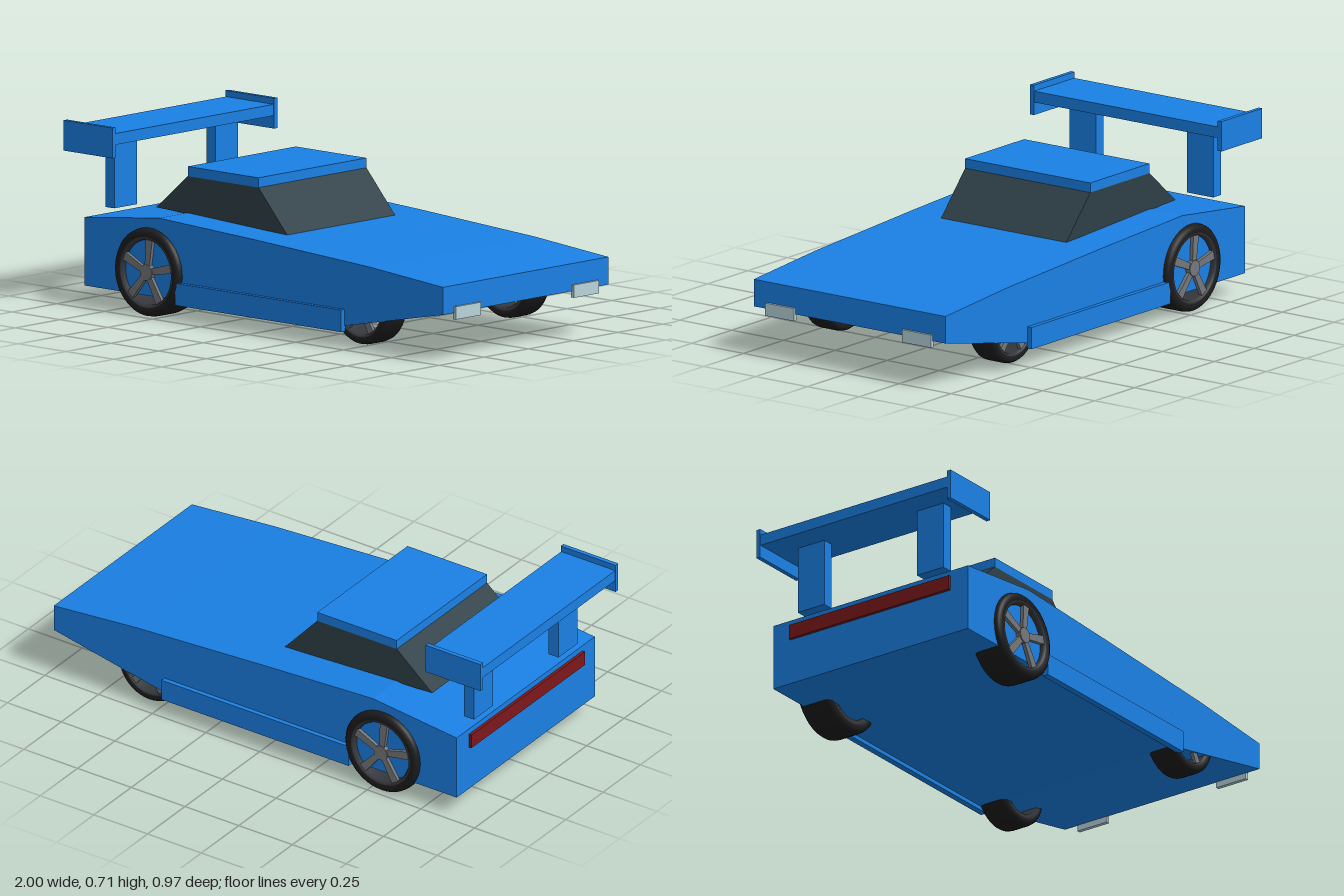
import * as THREE from 'three';

const mat = (color) => new THREE.MeshStandardMaterial({ color });
const blue = mat(0x1a80e4), glass = mat(0x2e4047), tyreMat = mat(0x1c1c1e);
const metal = mat(0x74777b), darkMetal = mat(0x33363b), lampMat = mat(0xb8d4dc), redMat = mat(0x7d181c);

function add(parent, name, geometry, material) {
  const mesh = new THREE.Mesh(geometry, material);
  mesh.name = name;
  parent.add(mesh);
  return mesh;
}

// Box given by its extents on each axis
function box(parent, name, material, [x0, x1], [y0, y1], [z0, z1]) {
  const mesh = add(parent, name, new THREE.BoxGeometry(x1 - x0, y1 - y0, Math.abs(z1 - z0)), material);
  mesh.position.set((x0 + x1) / 2, (y0 + y1) / 2, (z0 + z1) / 2);
  return mesh;
}

// Side profile extruded symmetrically across the car
function slab(parent, name, material, points, halfWidth) {
  const shape = new THREE.Shape(points.map(([x, y]) => new THREE.Vector2(x, y)));
  const geometry = new THREE.ExtrudeGeometry(shape, { depth: halfWidth * 2, bevelEnabled: false });
  geometry.translate(0, 0, -halfWidth);
  return add(parent, name, geometry, material);
}

// Ring of revolution about z from [radius, z] points
function ring(parent, name, material, points) {
  const geometry = new THREE.LatheGeometry(points.map(([r, z]) => new THREE.Vector2(r, z)), 48);
  geometry.rotateX(Math.PI / 2);
  const mesh = add(parent, name, geometry, material);
  mesh.material = material.clone();
  mesh.material.side = THREE.DoubleSide;
  return mesh;
}

// Wheel with its outer face towards +z
function makeWheel(name, r, width) {
  const wheel = new THREE.Group();
  wheel.name = name;
  const w = width / 2, rim = r * 0.8;
  ring(wheel, 'tyre', tyreMat, [
    [rim, -w + 0.004], [r * 0.88, -w], [r * 0.95, -w + 0.006], [r * 0.985, -w + 0.014], [r, -w + 0.028],
    [r, w - 0.028], [r * 0.985, w - 0.014], [r * 0.95, w - 0.006], [r * 0.88, w], [rim, w - 0.004],
  ]);
  ring(wheel, 'rim', darkMetal, [
    [rim, w - 0.004], [rim * 0.95, w - 0.004], [rim * 0.91, w - 0.014], [rim * 0.88, -w + 0.004], [rim, -w + 0.004],
  ]);
  const hub = add(wheel, 'hub', new THREE.CylinderGeometry(r * 0.18, r * 0.18, 0.022, 24), metal);
  hub.rotation.x = Math.PI / 2;
  hub.position.z = w - 0.014;
  // Five spokes widening towards the rim
  const spoke = new THREE.Shape([[-0.07, 0.1], [0.07, 0.1], [0.1, 0.74], [-0.1, 0.74]]
    .map(([x, y]) => new THREE.Vector2(x * r, y * r)));
  for (let i = 0; i < 5; i++) {
    const mesh = add(wheel, 'spoke', new THREE.ExtrudeGeometry(spoke, { depth: 0.014, bevelEnabled: false }), metal);
    mesh.position.z = w - 0.021;
    mesh.rotation.z = (i / 5) * Math.PI * 2 - 0.1;
  }
  return wheel;
}

export function createModel() {
  const car = new THREE.Group();
  car.name = 'wedgeCar';

  // Wedge body, nose towards +x
  slab(car, 'body', blue, [
    [-0.89, 0.08], [0.44, 0.08], [0.985, 0.19], [0.985, 0.297],
    [0.6, 0.33], [0.0, 0.364], [-0.5, 0.388], [-0.89, 0.345],
  ], 0.462);

  // Cabin glass and roof
  slab(car, 'cabinGlass', glass, [[-0.665, 0.39], [0.02, 0.364], [-0.13, 0.53], [-0.5, 0.53]], 0.302);
  box(car, 'roof', blue, [-0.5, -0.13], [0.53, 0.568], [-0.302, 0.302]);

  // Rear wing and tail light
  const wing = new THREE.Group();
  wing.name = 'rearWing';
  car.add(wing);
  box(wing, 'wingBlade', blue, [-0.998, -0.747], [0.64, 0.684], [-0.445, 0.445]);
  box(car, 'tailLight', redMat, [-0.902, -0.888], [0.264, 0.322], [-0.38, 0.38]);

  // Mirrored parts
  for (const s of [1, -1]) {
    box(wing, 'wingEndPlate', blue, [-1, -0.745], [0.59, 0.708], [s * 0.443, s * 0.461]);
    box(wing, 'wingStrut', blue, [-0.89, -0.843], [0.37, 0.645], [s * 0.22, s * 0.346]);
    box(car, 'sideSkirt', blue, [-0.4, 0.47], [0.064, 0.15], [s * 0.455, s * 0.481]);
    box(car, 'headlight', lampMat, [0.98, 0.995], [0.165, 0.215], [s * 0.26, s * 0.4]);

    const rear = makeWheel('rearWheel', 0.172, 0.145);
    rear.position.set(-0.55, 0.173, s * 0.414);
    const front = makeWheel('frontWheel', 0.146, 0.122);
    front.position.set(0.545, 0.167, s * 0.401);
    for (const wheel of [rear, front]) {
      if (s < 0) wheel.rotation.y = Math.PI;
      car.add(wheel);
    }
  }
  return car;
}
